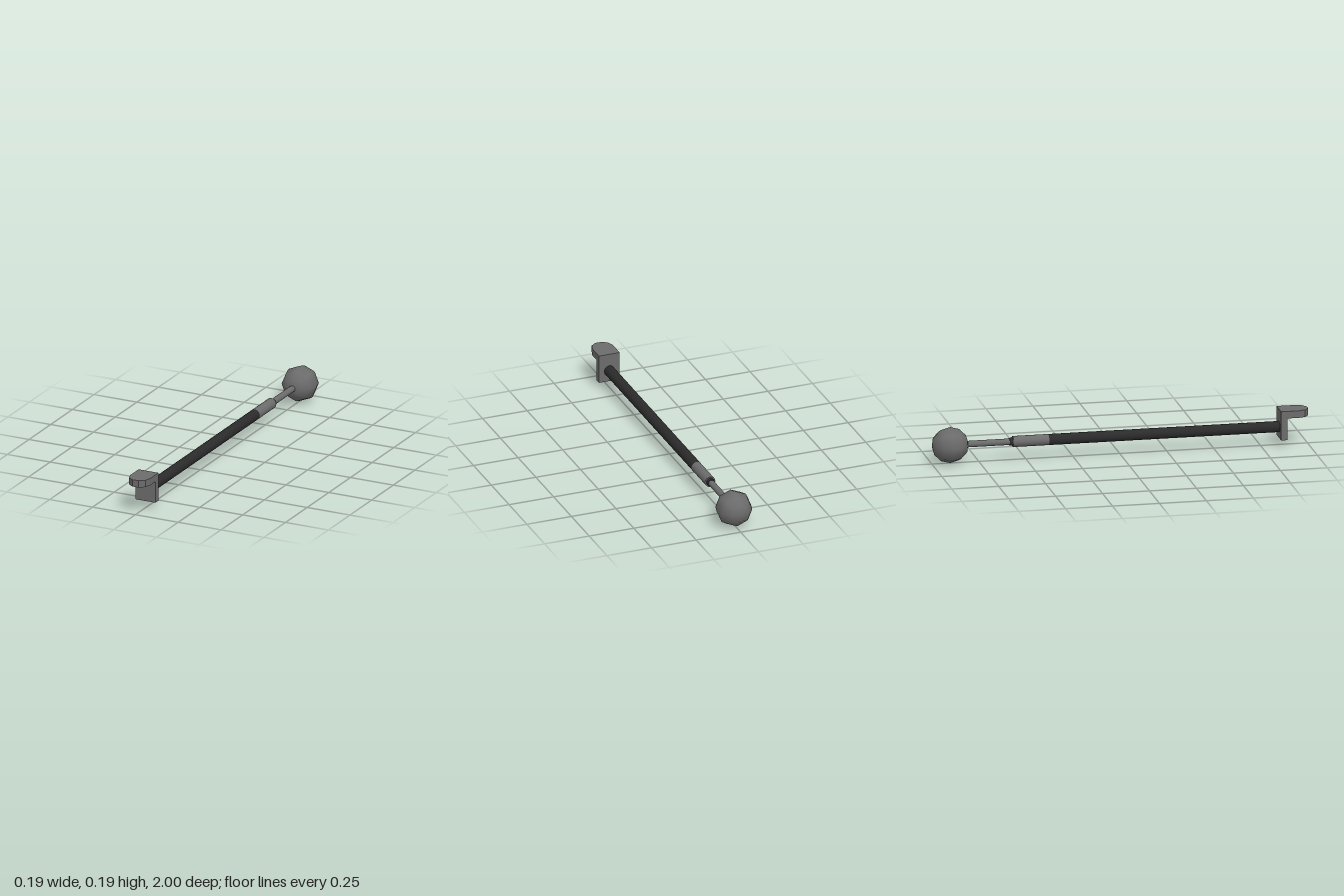
import * as THREE from 'three';

const AXIS_Y = 0.1;

export function createModel() {
  const model = new THREE.Group();
  const metal = new THREE.MeshStandardMaterial({ name: 'grey metal', color: 0x6c6c6c });
  const grip = new THREE.MeshStandardMaterial({ name: 'black coating', color: 0x2b2b2b });

  const add = (name, geometry, material) => {
    const mesh = new THREE.Mesh(geometry, material);
    mesh.name = name;
    model.add(mesh);
    return mesh;
  };

  // Round bar along z, from the back end to the front end
  const bar = (name, radius, back, front, material, backRadius = radius) => {
    const geometry = new THREE.CylinderGeometry(radius, backRadius, front - back, 16);
    geometry.rotateX(Math.PI / 2);
    add(name, geometry, material).position.set(0, AXIS_Y, (front + back) / 2);
  };

  // Shaft, sleeve and thin rod
  bar('shaft', 0.029, -0.38, 0.85, grip);
  bar('sleeve', 0.029, -0.57, -0.38, metal);
  bar('sleeveCollar', 0.022, -0.588, -0.57, grip, 0.02);
  bar('rod', 0.017, -0.86, -0.57, metal);

  // Faceted ball knob with its poles along z
  const ball = new THREE.SphereGeometry(0.097, 8, 6);
  ball.rotateX(Math.PI / 2);
  add('ballKnob', ball, metal).position.set(0, AXIS_Y, -0.903);

  // Upright plate of the end bracket
  const plate = new THREE.BoxGeometry(0.116, 0.155, 0.034);
  add('bracketPlate', plate, metal).position.set(0, 0.1175, 0.865);

  // Tab with a rounded front end
  const outline = new THREE.Shape();
  outline.moveTo(-0.058, 0.882);
  outline.lineTo(0.058, 0.882);
  for (let i = 0; i <= 5; i++) {
    const a = (i / 5) * Math.PI;
    outline.lineTo(0.058 * Math.cos(a), 0.943 + 0.06 * Math.sin(a));
  }
  const tab = new THREE.ExtrudeGeometry(outline, { depth: 0.038, bevelEnabled: false });
  tab.rotateX(Math.PI / 2);
  add('bracketTab', tab, metal).position.y = 0.195;

  return model;
}
